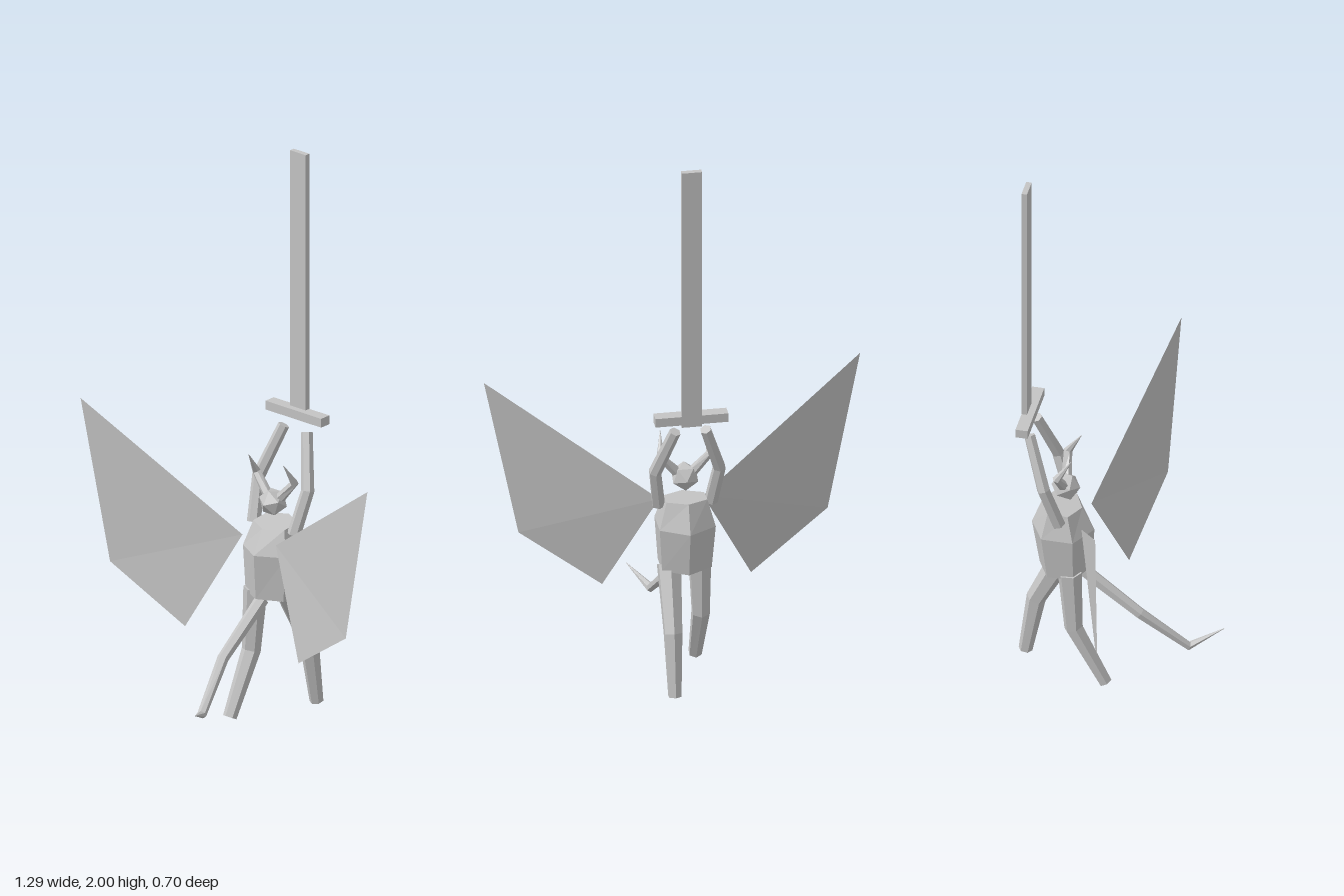
import * as THREE from 'three';

const V = (x, y, z) => new THREE.Vector3(x, y, z);
const SIDES = 6;

// Closed faceted skin over a list of rings (each counter-clockwise about the path)
function skin(rings) {
  const pos = [];
  const tri = (a, b, c) => [a, b, c].forEach(p => pos.push(p.x, p.y, p.z));
  for (let i = 0; i < rings.length - 1; i++) {
    for (let j = 0; j < SIDES; j++) {
      const k = (j + 1) % SIDES;
      const [a, b, c, d] = [rings[i][j], rings[i][k], rings[i + 1][k], rings[i + 1][j]];
      tri(a, b, c);
      tri(a, c, d);
    }
  }
  const first = rings[0], last = rings[rings.length - 1];
  for (let j = 1; j < SIDES - 1; j++) {
    tri(first[0], first[j + 1], first[j]);
    tri(last[0], last[j], last[j + 1]);
  }
  const g = new THREE.BufferGeometry();
  g.setAttribute('position', new THREE.Float32BufferAttribute(pos, 3));
  g.computeVertexNormals();
  return g;
}

// Tapered limb through points [x, y, z, radius]
function limb(points) {
  const p = points.map(q => V(q[0], q[1], q[2]));
  return skin(p.map((c, i) => {
    const t = p[Math.min(i + 1, p.length - 1)].clone().sub(p[Math.max(i - 1, 0)]).normalize();
    const u = V(1, 0, 0).addScaledVector(t, -t.x).normalize();
    const v = t.clone().cross(u);
    return Array.from({ length: SIDES }, (_, j) => {
      const a = (j + 0.5) / SIDES * Math.PI * 2;
      return c.clone().addScaledVector(u, Math.cos(a) * points[i][3])
        .addScaledVector(v, Math.sin(a) * points[i][3]);
    });
  }));
}

export function createModel() {
  const model = new THREE.Group();
  const grey = new THREE.MeshStandardMaterial({ color: 0xc4c4c4, flatShading: true, side: THREE.DoubleSide });
  grey.name = 'grey';
  const add = (name, geometry, x = 0, y = 0, z = 0) => {
    const m = new THREE.Mesh(geometry, grey);
    m.name = name;
    m.position.set(x, y, z);
    model.add(m);
    return m;
  };

  // Torso: rows of [y at front, y at back, z at front, z at back, half width]
  const rows = [
    [0.44, 0.435, -0.087, -0.267, 0.085],
    [0.60, 0.60, -0.077, -0.294, 0.096],
    [0.685, 0.70, -0.12, -0.257, 0.07],
  ];
  add('torso', skin(rows.map(([yf, yb, zf, zb, w]) =>
    Array.from({ length: SIDES }, (_, j) => {
      const a = (j + 0.5) / SIDES * Math.PI * 2;
      const f = (1 - Math.sin(a)) / 2;
      return V(Math.cos(a) / 0.866 * w, yb + (yf - yb) * f, zb + (zf - zb) * f);
    }))));

  // Head
  const head = new THREE.IcosahedronGeometry(0.05, 0);
  head.rotateX(-Math.atan(2 / (1 + Math.sqrt(5))));
  add('head', head, 0, 0.768, -0.176);

  // Paired horns, arms and wings
  for (const [side, s] of [['left', 1], ['right', -1]]) {
    add(side + 'Horn', limb([
      [s * 0.03, 0.79, -0.18, 0.018],
      [s * 0.085, 0.855, -0.188, 0.015],
      [s * 0.078, 0.93, -0.14, 0.001],
    ]));
    add(side + 'Arm', limb([
      [s * 0.09, 0.67, -0.18, 0.024],
      [s * 0.11, 0.82, -0.228, 0.023],
      [s * 0.052, 1.0, -0.29, 0.02],
    ]));
    const wing = new THREE.BufferGeometry();
    wing.setAttribute('position', new THREE.Float32BufferAttribute([
      s * 0.075, 0.65, -0.105, s * 0.255, 0.295, -0.016,
      s * 0.53, 0.48, 0.055, s * 0.645, 1.05, 0.075,
    ], 3));
    wing.setIndex(s > 0 ? [0, 1, 2, 0, 2, 3] : [0, 2, 1, 0, 3, 2]);
    wing.computeVertexNormals();
    add(side + 'Wing', wing);
  }

  // Striding legs
  add('rightLeg', limb([
    [-0.056, 0.45, -0.15, 0.042],
    [-0.062, 0.225, -0.135, 0.033],
    [-0.062, 0.012, -0.025, 0.024],
  ]));
  add('leftLeg', limb([
    [0.056, 0.445, -0.19, 0.044],
    [0.06, 0.235, -0.293, 0.034],
    [0.06, 0.012, -0.33, 0.024],
  ]));

  // Tail
  add('tail', limb([
    [0, 0.43, -0.12, 0.024],
    [0, 0.275, 0.08, 0.02],
    [0.045, 0.13, 0.24, 0.016],
    [0.11, 0.175, 0.348, 0.001],
  ]));

  // Sword held overhead
  add('swordBlade', new THREE.BoxGeometry(0.07, 0.97, 0.019), 0, 1.515, -0.3125);
  add('swordGuard', new THREE.BoxGeometry(0.25, 0.032, 0.042), 0, 1.055, -0.301);

  return model;
}
